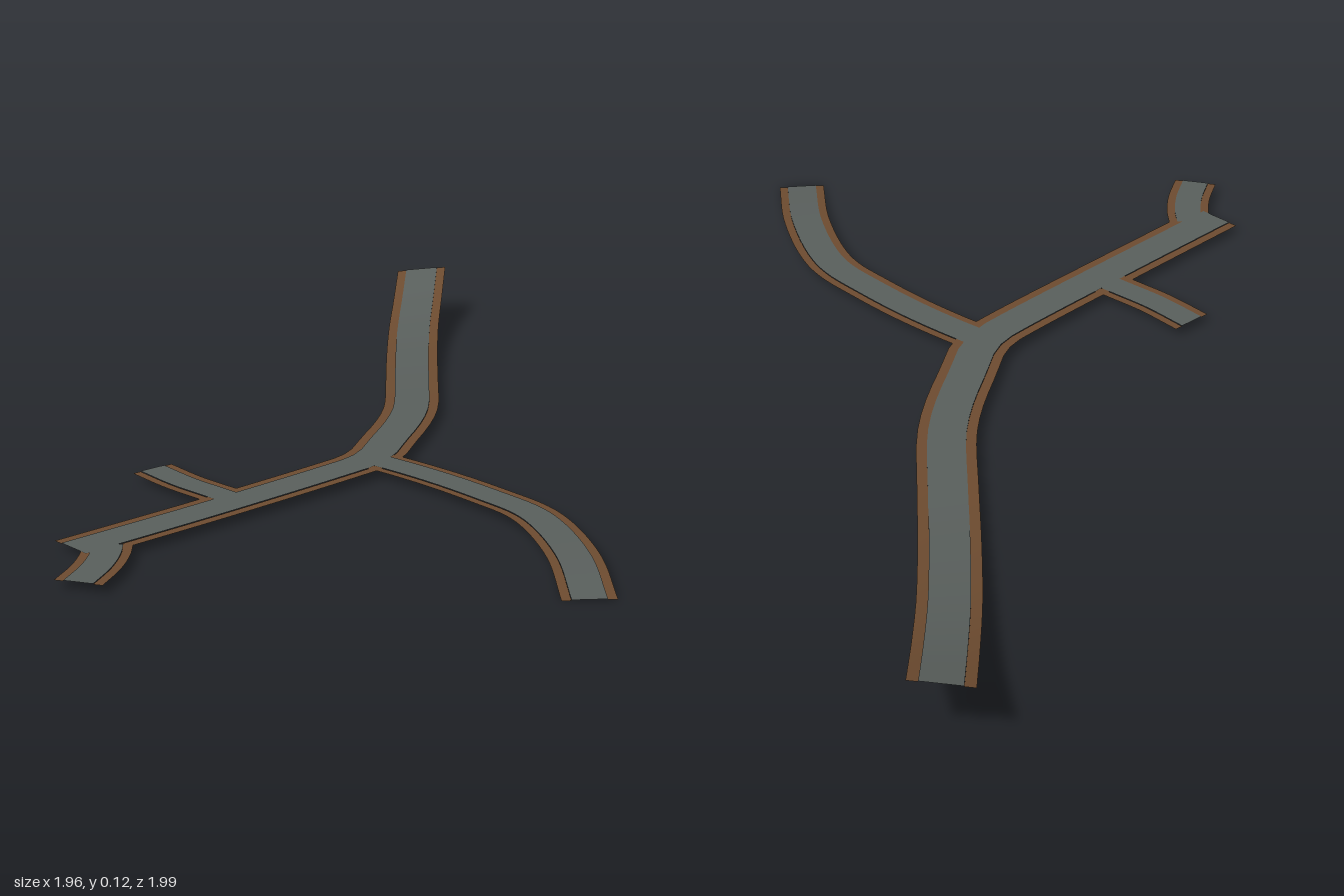
import * as THREE from 'three';

const asphalt = new THREE.MeshStandardMaterial({ color: 0x5a605d, side: THREE.DoubleSide });
asphalt.name = 'asphalt grey';
const earth = new THREE.MeshStandardMaterial({ color: 0x6e4c30, side: THREE.DoubleSide });
earth.name = 'earth brown';

// Flat strip following a curve between two sideways offsets; bank tilts its first part.
function strip(curve, from, to, drop, bank, steps = 40) {
  const positions = [];
  const index = [];
  for (let i = 0; i <= steps; i++) {
    const u = i / steps;
    const p = curve.getPointAt(u);
    const t = curve.getTangentAt(u).setY(0).normalize();
    const tilt = bank * Math.max(0, 1 - u * 3);
    for (const s of [from, to]) {
      positions.push(p.x + t.z * s, p.y - drop + s * tilt, p.z - t.x * s);
    }
    if (i < steps) {
      const a = i * 2;
      index.push(a, a + 2, a + 1, a + 1, a + 2, a + 3);
    }
  }
  const geometry = new THREE.BufferGeometry();
  geometry.setAttribute('position', new THREE.Float32BufferAttribute(positions, 3));
  geometry.setIndex(index);
  geometry.computeVertexNormals();
  return geometry;
}

// A road is a grey lane with a brown verge on each side, set a hair lower
// so that lanes cover verges where roads meet.
function road(name, points, width, verge, bank = 0) {
  const group = new THREE.Group();
  group.name = name;
  const curve = new THREE.CatmullRomCurve3(points.map((p) => new THREE.Vector3(...p)), false, 'centripetal');
  const half = width / 2;
  const inner = half - verge;
  const add = (part, material, from, to, drop) => {
    const mesh = new THREE.Mesh(strip(curve, from, to, drop, bank), material);
    mesh.name = part;
    group.add(mesh);
  };
  add('lane', asphalt, -inner, inner, 0);
  add('leftVerge', earth, inner, half, 0.0015);
  add('rightVerge', earth, -half, -inner, 0.0015);
  return group;
}

export function createModel() {
  const model = new THREE.Group();
  model.name = 'roadJunction';

  // Main road, climbing towards the back left corner
  model.add(road('mainRoad', [
    [-0.935, 0.113, -0.953], [-0.81, 0.071, -0.832], [-0.685, 0.046, -0.713],
    [-0.52, 0.031, -0.567], [-0.36, 0.024, -0.431], [-0.2, 0.022, -0.292],
    [-0.12, 0.022, -0.2], [-0.04, 0.022, -0.088], [0.022, 0.022, 0.0],
    [0.045, 0.022, 0.06], [0.054, 0.022, 0.13], [0.08, 0.02, 0.5], [0.1, 0.02, 0.867],
  ], 0.13, 0.023, 0.11));

  // Side road sweeping right and dipping to the ground
  model.add(road('sideRoad', [
    [0.04, 0.022, 0.03], [0.15, 0.022, 0.012], [0.27, 0.022, -0.001], [0.4, 0.022, -0.006],
    [0.52, 0.022, -0.004], [0.61, 0.021, 0.02], [0.78, 0.017, 0.104], [0.948, 0.004, 0.222],
  ], 0.112, 0.02));

  // Short spur on the left
  model.add(road('leftSpur', [
    [0.06, 0.02, 0.43], [0.0, 0.02, 0.437], [-0.1, 0.02, 0.448], [-0.22, 0.02, 0.448],
  ], 0.104, 0.02));

  // Short spur leaving the front end
  model.add(road('frontSpur', [
    [0.125, 0.02, 0.8], [0.165, 0.02, 0.833], [0.215, 0.02, 0.888], [0.267, 0.02, 0.966],
  ], 0.104, 0.02));

  return model;
}
